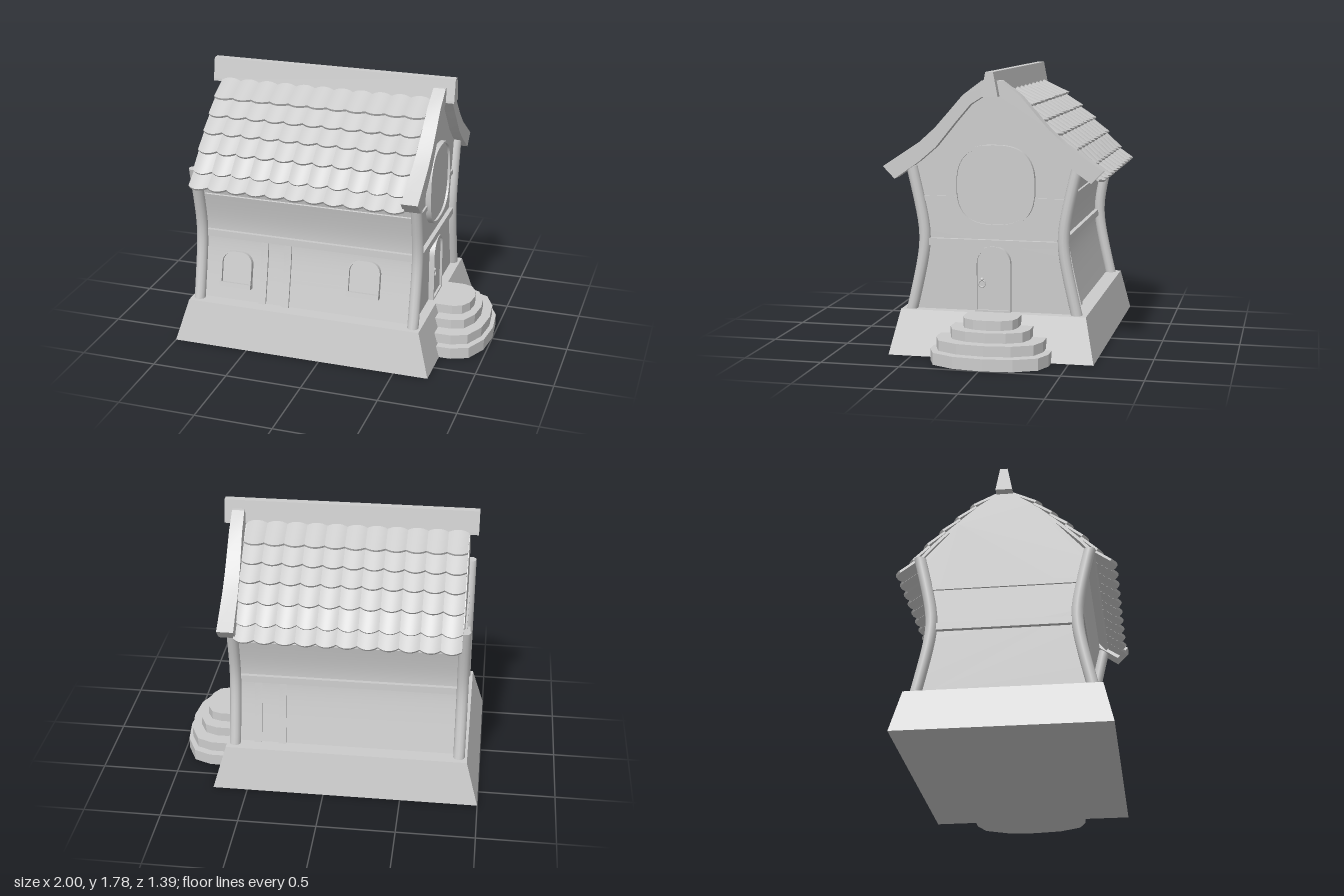
import * as THREE from 'three';
import { toCreasedNormals } from 'three/addons/utils/BufferGeometryUtils.js';

const mat = new THREE.MeshStandardMaterial({ color: 0xcccccc });

// Half depth of the pinched-in house wall at height y, and its lean
const bend = (y) => Math.hypot(0.035, 0.25 * (y - 0.74));
const wallZ = (y) => 0.375 + bend(y);
const wallLean = (y) => Math.atan((0.0625 * (y - 0.74)) / bend(y));

function add(parent, name, geo, x = 0, y = 0, z = 0) {
  const mesh = new THREE.Mesh(geo, mat);
  mesh.name = name;
  mesh.position.set(x, y, z);
  parent.add(mesh);
  return mesh;
}

function group(parent, name) {
  const g = new THREE.Group();
  g.name = name;
  parent.add(g);
  return g;
}

// Move every vertex of a geometry by a rule
function warp(geo, rule) {
  const p = geo.attributes.position;
  const v = new THREE.Vector3();
  for (let i = 0; i < p.count; i++) {
    rule(v.fromBufferAttribute(p, i));
    p.setXYZ(i, v.x, v.y, v.z);
  }
  geo.computeVertexNormals();
  return geo;
}

const shapeOf = (pts) => new THREE.Shape(pts.map(([a, b]) => new THREE.Vector2(a, b)));
const extrude = (shape, depth, crease = 0.5) =>
  toCreasedNormals(new THREE.ExtrudeGeometry(shape, { depth, bevelEnabled: false }), crease);

// Extrude a (z, y) outline from x0 to x1
const alongX = (pts, x0, x1, crease) =>
  extrude(shapeOf(pts), x1 - x0, crease).rotateY(Math.PI / 2).translate(x0, 0, 0);

// Mirror a half outline, listed from bottom to top, to the other side
const mirrored = (half) => [...half, ...half.map(([z, y]) => [-z, y]).reverse()];

// Upright panel with a rounded top, standing on y = 0
function archPoints(w, h, r, inset = 0) {
  const pts = [[-w / 2 + inset, inset], [w / 2 - inset, inset]];
  for (let s = 0; s < 2; s++)
    for (let i = 0; i <= 6; i++) {
      const a = ((s * 6 + i) / 12) * Math.PI;
      const cx = (s ? -1 : 1) * (w / 2 - r);
      pts.push([cx + Math.cos(a) * (r - inset), h - r + Math.sin(a) * (r - inset)]);
    }
  return pts;
}

// Rounded square outline
function squirclePoints(r) {
  const f = (c) => Math.sign(c) * Math.abs(c) ** 0.75 * r;
  return Array.from({ length: 48 }, (_, i) => {
    const a = (i / 48) * Math.PI * 2;
    return [f(Math.cos(a)), f(Math.sin(a))];
  });
}

function frameGeo(outer, inner, depth) {
  const s = shapeOf(outer);
  s.holes.push(shapeOf(inner));
  return extrude(s, depth);
}

// Lightly arched tile: tongue-shaped lower edge at +z, rounded upper edge
function tileGeo(length) {
  const w = 0.13;
  const geo = new THREE.BoxGeometry(w, 0.016, length, 8, 1, 1);
  warp(geo, (v) => {
    const k = 1 - (2 * v.x / w) ** 2;
    v.y += 0.014 * k - 0.006;
    v.z += (v.z > 0 ? 0.03 : -0.008) * k;
  });
  return toCreasedNormals(geo, 0.6);
}

export function createModel() {
  const house = new THREE.Group();
  house.name = 'house';

  // Sloping plinth
  const base = warp(new THREE.BoxGeometry(1.725, 0.28, 1.306).toNonIndexed(), (v) => {
    if (v.y > 0) { v.x *= 0.907; v.z *= 0.905; }
  });
  add(house, 'plinth', base, -0.1375, 0.14, -0.002);

  // Polygonal entrance steps: half depth, outer x, bottom, top, inner x
  const steps = group(house, 'steps');
  [[0.373, 1, 0, 0.075, 0.52], [0.337, 0.975, 0.085, 0.15, 0.62],
    [0.25, 0.915, 0.153, 0.215, 0.6], [0.172, 0.868, 0.22, 0.28, 0.6]].forEach(([hz, x1, y0, y1, x0]) => {
    const c = 0.7, k = x1 - c;
    const half = [[x0, hz], [c + k * 0.33, hz], [c + k * 0.7, hz * 0.88], [c + k * 0.93, hz * 0.5]];
    const pts = [...half, [x1, 0], ...half.map(([x, z]) => [x, -z]).reverse()];
    const geo = extrude(shapeOf(pts), y1 - y0, 0.1).rotateX(-Math.PI / 2);
    add(steps, 'step', geo, 0, y0, -0.018);
  });

  // Body with pinched walls and gable ends
  const side = Array.from({ length: 21 }, (_, i) => {
    const y = 0.27 + (i / 20) * 0.93;
    return [wallZ(y), y];
  });
  const body = [...side, [0.29, 1.43], [0.17, 1.55], [0.05, 1.63]];
  add(house, 'walls', alongX(mirrored(body), -0.86, 0.585));

  // Bowed corner columns
  for (const x of [-0.867, 0.592]) for (const s of [-1, 1]) {
    const geo = new THREE.CylinderGeometry(0.037, 0.037, 0.91, 12, 16);
    warp(geo, (v) => { v.y += 0.735; v.z += s * (wallZ(v.y) + 0.032); });
    add(house, 'cornerColumn', toCreasedNormals(geo, 0.7), x);
  }

  // Horizontal beams round the house: height, thickness, projection
  for (const [y, h, out] of [[0.712, 0.045, 0.028], [0.985, 0.032, 0.012]]) {
    const z = wallZ(y);
    for (const s of [-1, 1]) {
      const beam = add(house, 'sideBeam', new THREE.BoxGeometry(1.4, h, 0.05), -0.135, y, s * (z + out - 0.025));
      beam.rotation.x = s * wallLean(y);
      add(house, 'gableBeam', new THREE.BoxGeometry(0.04, h, 2 * z), s > 0 ? 0.565 + out : -0.84 - out, y, 0);
    }
  }

  // Paired upright posts on both long walls
  for (const [x, s] of [[-0.437, 1], [-0.278, 1], [0.445, -1], [0.285, -1]]) {
    const geo = new THREE.BoxGeometry(0.048, 0.42, 0.03, 1, 6, 1);
    warp(geo, (v) => { v.y += 0.485; v.z += s * wallZ(v.y); });
    add(house, 'wallPost', geo, x);
  }

  // Small arched windows on the front wall
  for (const [x, y] of [[-0.624, 0.36], [0.245, 0.41]]) {
    const win = group(house, 'frontWindow');
    win.position.set(x, y, wallZ(y) - 0.012);
    win.rotation.x = wallLean(y + 0.1);
    add(win, 'windowFrame', frameGeo(archPoints(0.214, 0.243, 0.075), archPoints(0.214, 0.243, 0.075, 0.01), 0.045));
    add(win, 'windowPane', extrude(shapeOf(archPoints(0.206, 0.236, 0.07)), 0.025));
    add(win, 'windowSill', new THREE.BoxGeometry(0.216, 0.03, 0.06), 0, 0.017, 0.022);
  }

  // Large rounded window in the gable
  const big = group(house, 'gableWindow');
  big.position.set(0.575, 1.073, -0.01);
  big.rotation.y = Math.PI / 2;
  add(big, 'gableWindowFrame', frameGeo(squirclePoints(0.255), squirclePoints(0.24), 0.045));
  add(big, 'gableWindowPane', extrude(shapeOf(squirclePoints(0.245)), 0.03));

  // Arched door with ring handle
  const door = group(house, 'door');
  door.position.set(0.575, 0.28, 0);
  door.rotation.y = Math.PI / 2;
  add(door, 'doorFrame', frameGeo(archPoints(0.226, 0.415, 0.108), archPoints(0.226, 0.415, 0.108, 0.011), 0.045));
  add(door, 'doorLeaf', extrude(shapeOf(archPoints(0.21, 0.405, 0.1)), 0.03));
  add(door, 'doorRing', new THREE.TorusGeometry(0.021, 0.005, 8, 20), -0.07, 0.178, 0.038);
  add(door, 'doorKnob', new THREE.SphereGeometry(0.011, 12, 8), -0.07, 0.205, 0.036);

  // Roof: lower edge of each tile row as (z, y), eaves to ridge
  const roof = group(house, 'roof');
  const rows = [[0.65, 1.127], [0.57, 1.205], [0.48, 1.31], [0.385, 1.405], [0.29, 1.49], [0.19, 1.575], [0.055, 1.66]];
  const under = (d) => rows.slice(1).map(([z, y]) => [z - 0.6 * d, y - 0.75 * d]);
  const deck = [...under(0.025), ...under(0.045).reverse()];
  for (const s of [-1, 1])
    add(roof, 'roofDeck', alongX(deck.map(([z, y]) => [s * z, y]), -0.845, 0.56));

  for (const s of [-1, 1]) {
    const slope = group(roof, 'tiledSlope');
    if (s < 0) {
      slope.rotation.y = Math.PI;
      slope.position.x = -0.3;
    }
    for (let r = 0; r < 6; r++) {
      const [z0, y0] = rows[r], [z1, y1] = rows[r + 1];
      const dz = z0 - z1, dy = y1 - 0.022 - y0;
      const geo = tileGeo(Math.hypot(dz, dy) + 0.015);
      for (let c = 0; c < 11; c++) {
        const tile = add(slope, 'roofTile', geo, -0.79 + c * 0.128, (y0 + y1 - 0.022) / 2, (z0 + z1) / 2);
        tile.rotation.x = Math.atan2(dy, dz);
      }
    }
  }

  // Curved verge board over the entrance gable
  const outer = [[0.695, 1.185], [0.46, 1.34], [0.36, 1.43], [0.28, 1.52], [0.18, 1.635], [0.06, 1.725]];
  const inner = [[0.62, 1.108], [0.46, 1.22], [0.355, 1.31], [0.22, 1.475], [0.13, 1.58], [0.05, 1.63]];
  const verge = alongX([...mirrored(outer), ...mirrored(inner).reverse()], 0, 0.11);
  warp(verge, (v) => { if (v.x < 0.05) v.x += 0.05 * (v.y - 1.108); });
  add(roof, 'vergeBoard', toCreasedNormals(verge, 0.4), 0.541);

  // Tapered ridge beam
  add(roof, 'ridgeBeam', alongX(mirrored([[0.052, 1.63], [0.05, 1.645], [0.024, 1.78]]), -0.915, 0.705, 0.05));

  return house;
}
